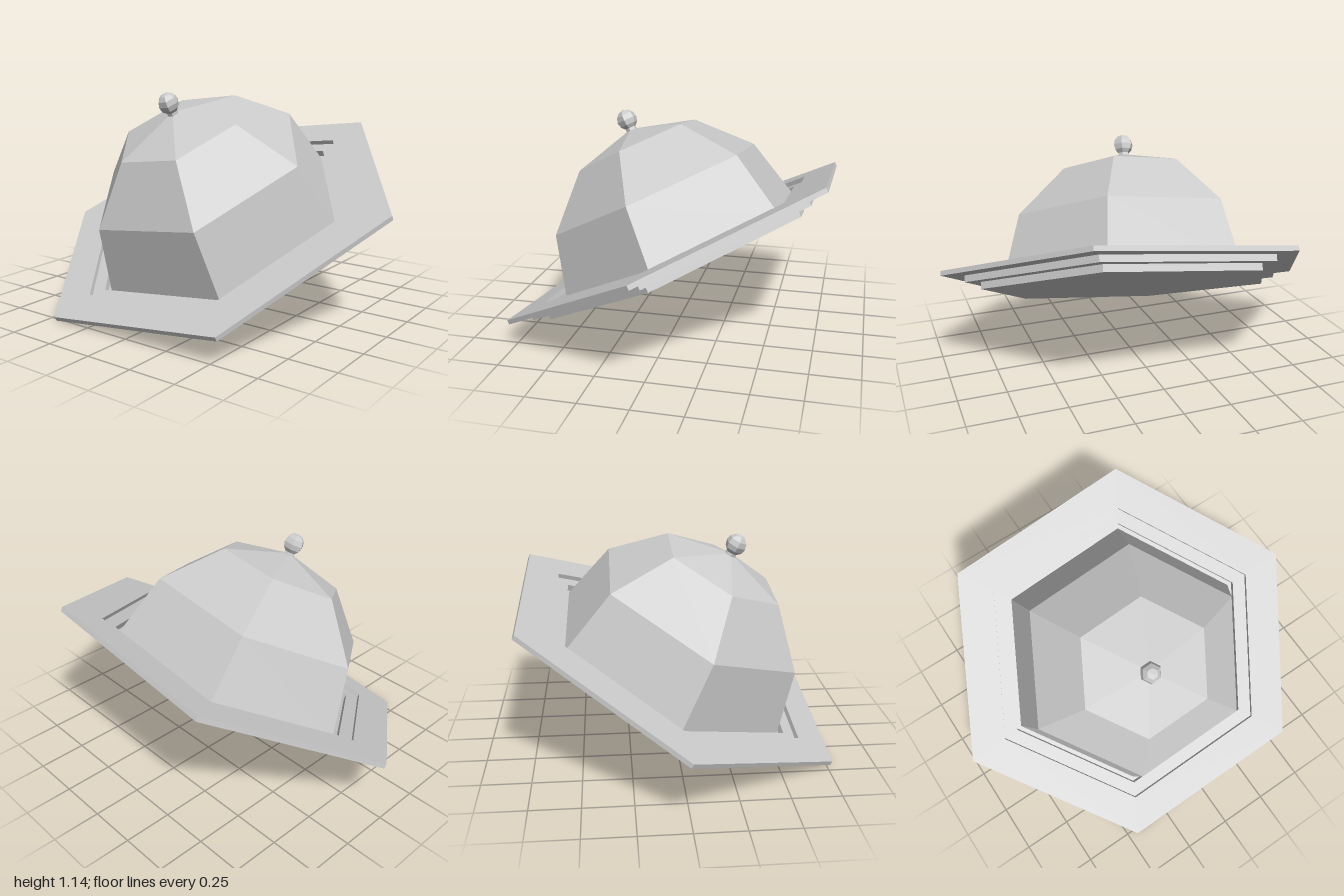
import * as THREE from 'three';

// Six-sided covered serving dish, tilted as a whole.
export function createModel() {
  const material = new THREE.MeshStandardMaterial({
    color: 0xcccccc, flatShading: true, side: THREE.DoubleSide,
  });
  const dish = new THREE.Group();
  dish.name = 'coveredDish';

  // Hexagonal solid from a [radius, height] profile, running up the outside
  const hexLathe = (name, profile) => {
    const points = profile.map(([r, y]) => new THREE.Vector2(r, y));
    const mesh = new THREE.Mesh(new THREE.LatheGeometry(points, 6, Math.PI / 2), material);
    mesh.name = name;
    dish.add(mesh);
  };
  const hexRing = (name, outer, inner, bottom, top) => hexLathe(name, [
    [outer, bottom], [outer, top], [inner, top], [inner, bottom], [outer, bottom],
  ]);
  // Quarter or half circle in 30 degree steps
  const arc = (radius, centerY, from, to) => {
    const profile = [];
    for (let deg = from; deg <= to; deg += 30) {
      const a = THREE.MathUtils.degToRad(deg);
      profile.push([Math.abs(deg) === 90 ? 0 : radius * Math.cos(a), centerY + radius * Math.sin(a)]);
    }
    return profile;
  };

  // Stepped tray: wide rim, narrower ledge, solid base
  hexRing('trayRim', 1.008, 0.8, -0.024, 0);
  hexRing('trayLedge', 0.89, 0.72, -0.058, -0.024);
  hexLathe('trayBase', [[0, -0.094], [0.81, -0.094], [0.81, -0.058], [0, -0.058]]);

  // Domed lid with its knob
  hexLathe('domeLid', arc(0.695, -0.058, 0, 90));
  hexLathe('knobNeck', [[0.034, 0.6], [0.027, 0.66]]);
  hexLathe('knob', arc(0.055, 0.69, -90, 90));

  // Tilt forward and to one side
  dish.rotation.set(0.465, 0, 0.124, 'ZYX');
  dish.position.y = 0.472;

  const model = new THREE.Group();
  model.name = 'tiltedCoveredDish';
  model.add(dish);
  return model;
}
